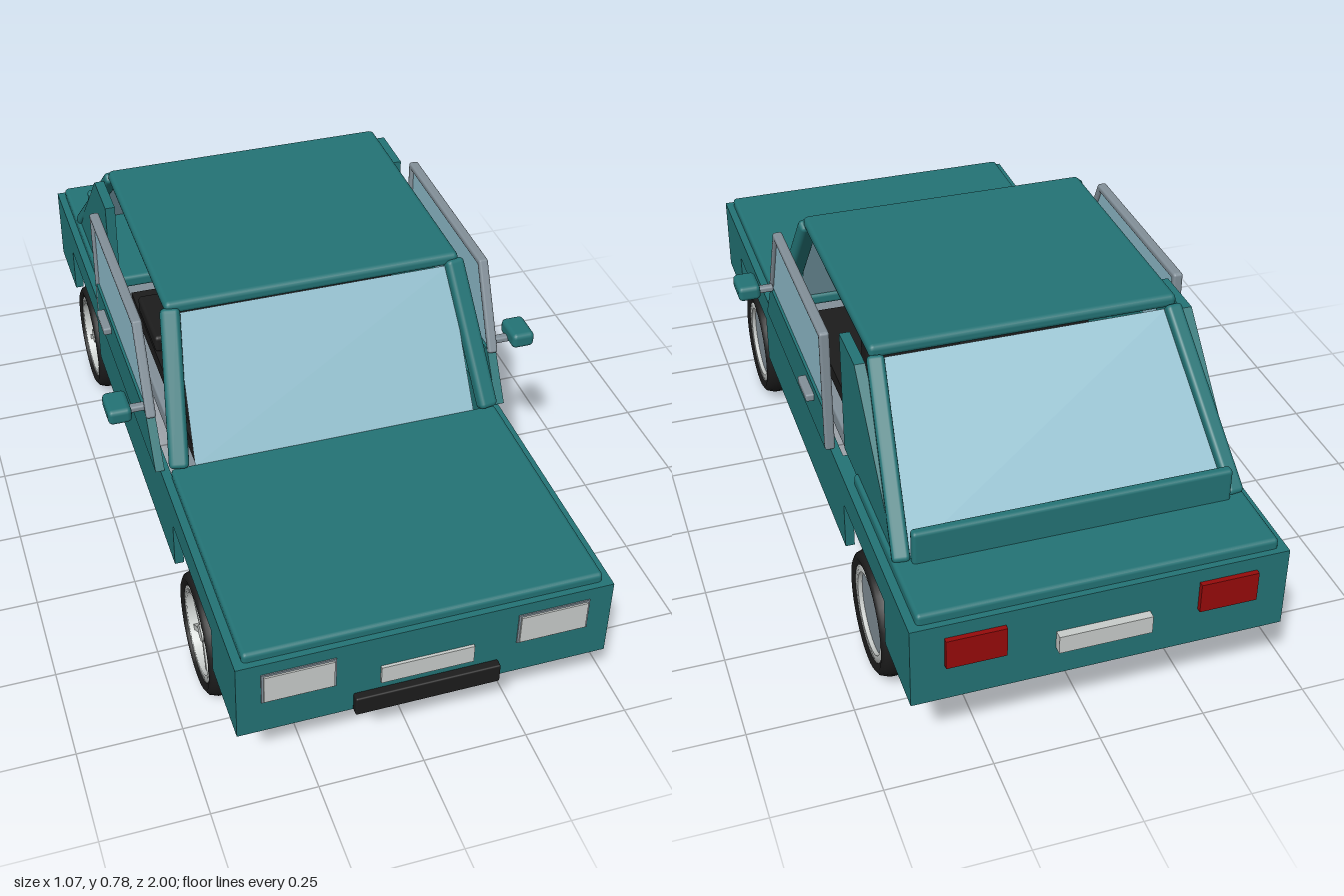
import * as THREE from 'three';
import { RoundedBoxGeometry } from 'three/addons/geometries/RoundedBoxGeometry.js';

const mat = (name, color, side = THREE.FrontSide) => {
  const m = new THREE.MeshStandardMaterial({ color, side });
  m.name = name;
  return m;
};

export function createModel() {
  const paint = mat('teal paint', 0x237375);
  const glass = mat('glass', 0x8fbccb, THREE.DoubleSide);
  const grey = mat('grey metal', 0x828f98);
  const pale = mat('pale silver', 0xc8ccca);
  const black = mat('black rubber', 0x1c1c1c);
  const red = mat('red lamp', 0x960a0a);

  const car = new THREE.Group();
  car.name = 'car';

  const add = (name, geometry, material, parent = car) => {
    const mesh = new THREE.Mesh(geometry, material);
    mesh.name = name;
    parent.add(mesh);
    return mesh;
  };
  // Box given by its lower and upper corners, optionally rounded
  const box = (name, lo, hi, material, r = 0, parent = car) => {
    const s = lo.map((v, i) => hi[i] - v);
    const g = r ? new RoundedBoxGeometry(...s, 2, r) : new THREE.BoxGeometry(...s);
    const mesh = add(name, g, material, parent);
    mesh.position.set(...lo.map((v, i) => (v + hi[i]) / 2));
    return mesh;
  };
  // Rounded bar from a to b
  const bar = (name, a, b, w, d, material) => {
    const p = new THREE.Vector3(...a), q = new THREE.Vector3(...b);
    const g = new RoundedBoxGeometry(w, d, p.distanceTo(q), 2, Math.min(w, d) * 0.35);
    const mesh = add(name, g, material);
    mesh.position.copy(p).lerp(q, 0.5);
    mesh.lookAt(q);
    return mesh;
  };
  // Flat panel outlined by [z, y] points, given a thickness around x
  const panel = (name, points, x, thick, material) => {
    const shape = new THREE.Shape(points.map(([z, y]) => new THREE.Vector2(z, y)));
    const g = new THREE.ExtrudeGeometry(shape, { depth: thick, bevelEnabled: false });
    g.translate(0, 0, -thick / 2);
    g.rotateY(-Math.PI / 2);
    add(name, g, material).position.x = x;
  };
  // Sloping window, wider at the bottom
  const screen = (name, topW, topY, topZ, lowW, lowY, lowZ) => {
    const g = new THREE.BufferGeometry();
    const f = topZ < lowZ ? 1 : -1;
    g.setAttribute('position', new THREE.Float32BufferAttribute([
      -lowW * f, lowY, lowZ, lowW * f, lowY, lowZ, topW * f, topY, topZ, -topW * f, topY, topZ], 3));
    g.setIndex([0, 1, 2, 0, 2, 3]);
    g.computeVertexNormals();
    add(name, g, glass);
  };

  // Hollow lower body: end panels, hood and rear deck
  box('frontPanel', [-0.43, 0.21, 0.955], [0.43, 0.415, 0.98], paint);
  box('rearPanel', [-0.43, 0.21, -0.98], [0.43, 0.415, -0.955], paint);
  box('hood', [-0.41, 0.405, 0.345], [0.41, 0.437, 0.965], paint, 0.01);
  box('rearDeck', [-0.41, 0.405, -0.965], [0.41, 0.44, -0.455], paint, 0.01);
  box('rearLip', [-0.37, 0.43, -0.805], [0.37, 0.52, -0.78], paint, 0.009);
  box('chassis', [-0.32, 0.155, -0.83], [0.32, 0.21, 0.83], grey, 0.008);

  // Cabin
  box('roof', [-0.365, 0.745, -0.465], [0.365, 0.778, 0.17], paint, 0.013);
  screen('windshield', 0.34, 0.748, 0.168, 0.352, 0.435, 0.352);
  screen('rearWindow', 0.338, 0.748, -0.467, 0.37, 0.44, -0.775);

  // Interior
  box('cabinFloor', [-0.3, 0.24, -0.6], [0.3, 0.285, 0.51], black);
  box('rearSeat', [-0.3, 0.285, -0.51], [0.3, 0.335, -0.3], black, 0.01);

  for (const s of [-1, 1]) {
    const span = (a, b) => [Math.min(s * a, s * b), Math.max(s * a, s * b)];
    const sideBox = (name, a, b, lo, hi, material, r) => {
      const [x0, x1] = span(a, b);
      box(name, [x0, ...lo], [x1, ...hi], material, r);
    };

    // Body side with square wheel openings
    panel('bodySide', [[-0.98, 0.21], [-0.78, 0.21], [-0.78, 0.335], [-0.43, 0.335], [-0.43, 0.21],
      [0.43, 0.21], [0.43, 0.335], [0.78, 0.335], [0.78, 0.21], [0.98, 0.21], [0.98, 0.415], [-0.98, 0.415]],
    s * 0.419, 0.022, paint);
    // Ledges filling the body top beside hood and deck
    sideBox('frontLedge', 0.39, 0.43, [0.395, 0.345], [0.415, 0.975], paint);
    sideBox('rearLedge', 0.39, 0.43, [0.395, -0.975], [0.415, -0.35], paint);

    // Cabin pillars
    bar('windshieldPillar', [s * 0.39, 0.435, 0.35], [s * 0.352, 0.76, 0.16], 0.048, 0.035, paint);
    bar('rearPillar', [s * 0.39, 0.435, -0.785], [s * 0.352, 0.755, -0.465], 0.04, 0.03, paint);
    panel('rearQuarter', [[-0.335, 0.425], [-0.335, 0.743], [-0.47, 0.743], [-0.775, 0.435], [-0.7, 0.425]],
      s * 0.388, 0.025, paint);

    // Door with framed window
    const x = s * 0.432;
    panel('door', [[0.33, 0.42], [0.255, 0.535], [-0.315, 0.535], [-0.315, 0.42]], x, 0.022, paint);
    panel('doorGlass', [[0.255, 0.53], [0.16, 0.735], [-0.315, 0.735], [-0.315, 0.53]], x, 0.008, glass);
    bar('doorFrameFront', [x, 0.53, 0.262], [x, 0.742, 0.158], 0.024, 0.018, grey);
    bar('doorFrameTop', [x, 0.735, 0.168], [x, 0.735, -0.325], 0.024, 0.018, grey);
    sideBox('doorFrameRear', 0.42, 0.444, [0.42, -0.327], [0.743, -0.309], grey, 0.006);
    sideBox('doorHandle', 0.44, 0.463, [0.495, -0.225], [0.515, -0.135], grey, 0.005);
    sideBox('mirrorArm', 0.44, 0.49, [0.54, 0.225], [0.556, 0.245], grey, 0.005);
    sideBox('mirror', 0.478, 0.535, [0.54, 0.195], [0.58, 0.28], paint, 0.012);

    // Seats
    sideBox('frontSeat', 0.05, 0.29, [0.285, -0.1], [0.335, 0.13], black, 0.01);
    sideBox('frontSeatBack', 0.05, 0.29, [0.285, -0.14], [0.6, -0.07], black, 0.015);

    // Lamps
    sideBox('headlightFrame', 0.208, 0.375, [0.301, 0.978], [0.385, 0.983], grey);
    sideBox('headlight', 0.213, 0.37, [0.306, 0.98], [0.38, 0.987], pale);
    sideBox('tailLight', 0.22, 0.355, [0.305, -0.992], [0.38, -0.98], red);
  }

  // Plates and bumper strip
  box('frontPlate', [-0.107, 0.28, 0.979], [0.107, 0.327, 0.987], pale);
  box('rearPlate', [-0.107, 0.285, -1.0], [0.107, 0.33, -0.98], pale);
  box('bumperStrip', [-0.168, 0.21, 0.978], [0.168, 0.26, 1.0], black, 0.004);

  // Wheels, all with the spokes on the same side
  const ring = (points) => {
    const g = new THREE.LatheGeometry(points.map(([r, w]) => new THREE.Vector2(r, w)), 32);
    return g.rotateZ(Math.PI / 2);
  };
  const tire = ring([[0.114, -0.036], [0.132, -0.043], [0.143, -0.036], [0.15, -0.016],
    [0.15, 0.016], [0.143, 0.036], [0.132, 0.043], [0.114, 0.036], [0.114, -0.036]]);
  const rim = ring([[0.098, -0.036], [0.115, -0.037], [0.115, 0.037], [0.098, 0.036], [0.098, -0.036]]);
  const disc = new THREE.CylinderGeometry(0.1, 0.1, 0.035, 32).rotateZ(Math.PI / 2);
  const hub = new THREE.CylinderGeometry(0.02, 0.02, 0.02, 16).rotateZ(Math.PI / 2);
  const spoke = new THREE.BoxGeometry(0.016, 0.092, 0.013).translate(0, 0.054, 0);

  for (const x of [-0.388, 0.388]) for (const z of [-0.61, 0.61]) {
    const wheel = new THREE.Group();
    wheel.name = 'wheel';
    wheel.position.set(x, 0.15, z);
    add('tire', tire, black, wheel);
    add('rim', rim, pale, wheel);
    add('wheelDisc', disc, grey, wheel).position.x = 0.008;
    add('hub', hub, pale, wheel).position.x = -0.02;
    for (let i = 0; i < 5; i++) {
      const sp = add('spoke', spoke, pale, wheel);
      sp.position.x = -0.018;
      sp.rotation.x = (i * Math.PI * 2) / 5 + 0.3;
    }
    car.add(wheel);
  }
  return car;
}
